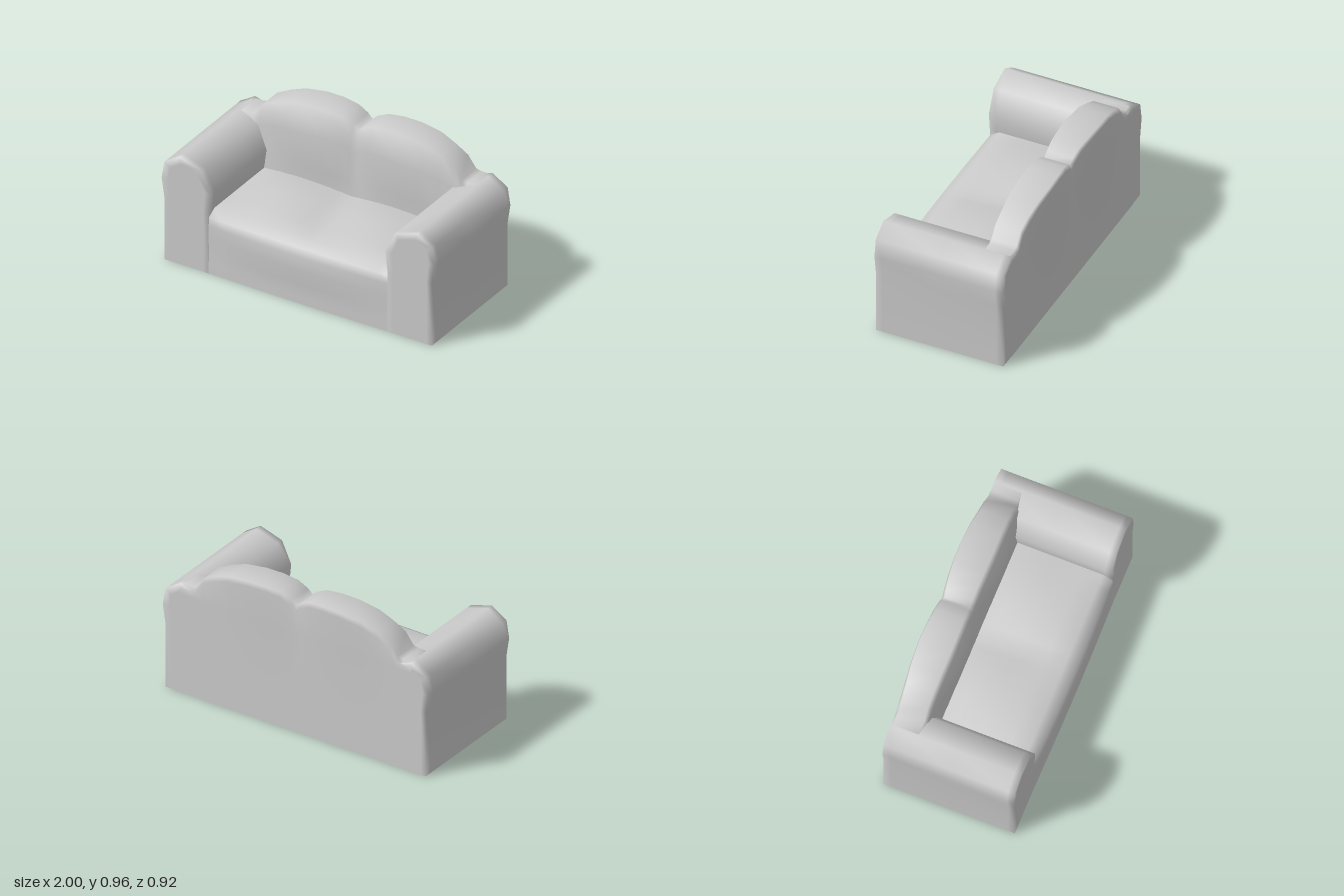
import * as THREE from 'three';

const material = new THREE.MeshStandardMaterial({ color: 0xcccccc, side: THREE.DoubleSide });

// Smooth skin over rows of equally many [x, y, z] points
function skin(name, rows) {
  const n = rows[0].length, index = [];
  for (let i = 0; i < rows.length - 1; i++) {
    for (let j = 0; j < n - 1; j++) {
      const a = i * n + j, b = a + 1, c = a + n, d = c + 1;
      index.push(a, c, b, b, c, d);
    }
  }
  const geometry = new THREE.BufferGeometry();
  geometry.setAttribute('position', new THREE.Float32BufferAttribute(rows.flat(2), 3));
  geometry.setIndex(index);
  geometry.computeVertexNormals();
  const mesh = new THREE.Mesh(geometry, material);
  mesh.name = name;
  return mesh;
}

// Two soft humps, one per cushion
const hump = x => Math.max(0, Math.sin(Math.PI * Math.min(Math.abs(x), 0.66) / 0.66));

// Mirrors a list of positive stations around x = 0
const mirrored = list => [...list.slice(1).reverse().map(([x, ...r]) => [-x, ...r]), ...list];

function createArm(side) {
  const outline = [
    [0.98, 0], [0.98, 0.05], [0.98, 0.45], [1.0, 0.58], [0.98, 0.7], [0.87, 0.77],
    [0.71, 0.72], [0.64, 0.57], [0.655, 0.43], [0.655, 0],
  ];
  const last = outline.length - 1;
  // [z, share of the outline kept, end panel reaches the floor]
  const stations = [
    [0.435, 0, true], [0.435, 0.75, true], [0.435, 1, true], [0.39, 1, false],
    [0, 1, false], [-0.39, 1, false], [-0.44, 1, true], [-0.44, 0.75, true], [-0.44, 0, true],
  ];
  const rows = stations.map(([z, k, panel]) => outline.map(([x, y], j) => {
    if (j === last && !panel) y = 0.43;
    const cy = Math.min(y, 0.58);
    return [side * (0.82 + (x - 0.82) * k), cy + (y - cy) * k, z];
  }));
  if (side < 0) rows.reverse();
  return skin(side > 0 ? 'leftArm' : 'rightArm', rows);
}

function createSeat() {
  const rows = [];
  for (let i = 0; i <= 16; i++) {
    const x = -0.655 + 1.31 * i / 16;
    const b = hump(x), bow = 0.025 * Math.cos(x * Math.PI / 1.31);
    rows.push([
      [0, 0.435 + bow * 0.3], [0.05, 0.435 + bow * 0.3], [0.14, 0.433 + bow * 0.4],
      [0.25, 0.435 + bow], [0.34, 0.435 + bow * 0.7], [0.4, 0.432 + bow * 0.3],
      [0.44, 0.37], [0.44 + 0.025 * b, 0.25], [0.44 + 0.045 * b, 0.05],
      [0.44 + 0.035 * b, -0.12], [0.44 + 0.01 * b, -0.25],
    ].map(([y, z]) => [x, y, z]));
  }
  return skin('seat', rows);
}

function createBack() {
  // [x, height of the top edge]
  const stations = mirrored([
    [0, 0.89], [0.035, 0.92], [0.11, 0.953], [0.22, 0.963], [0.35, 0.96], [0.5, 0.94],
    [0.61, 0.9], [0.7, 0.855], [0.76, 0.775], [0.8, 0.768], [0.87, 0.765],
  ]);
  const rows = stations.map(([x, h]) => {
    const b = hump(x);
    return [
      [0.42, -0.2], [0.55, -0.21 + 0.015 * b], [0.45 + (h - 0.45) * 0.68, -0.225 + 0.052 * b],
      [h - 0.06, -0.232 + 0.01 * b], [h, -0.255 + 0.01 * b], [h, -0.425 - 0.03 * b],
      [h - 0.03, -0.442 - 0.02 * b], [0.7, -0.442 - 0.01 * b], [0.35, -0.442], [0, -0.442],
    ].map(([y, z]) => [x, y, z]);
  });
  return skin('back', rows);
}

// Narrow rim turned in under the open base
function createRim() {
  const shape = new THREE.Shape();
  shape.moveTo(-0.98, -0.435).lineTo(0.98, -0.435).lineTo(0.98, 0.44).lineTo(-0.98, 0.44).closePath();
  const hole = new THREE.Path();
  hole.moveTo(-0.93, -0.39).lineTo(-0.93, 0.4).lineTo(0.93, 0.4).lineTo(0.93, -0.39).closePath();
  shape.holes.push(hole);
  const rim = new THREE.Mesh(new THREE.ShapeGeometry(shape).rotateX(Math.PI / 2).scale(1, 1, -1), material);
  rim.geometry.computeVertexNormals();
  rim.name = 'baseRim';
  return rim;
}

export function createModel() {
  const sofa = new THREE.Group();
  sofa.name = 'sofa';
  sofa.add(createSeat(), createBack(), createArm(1), createArm(-1), createRim());
  return sofa;
}
